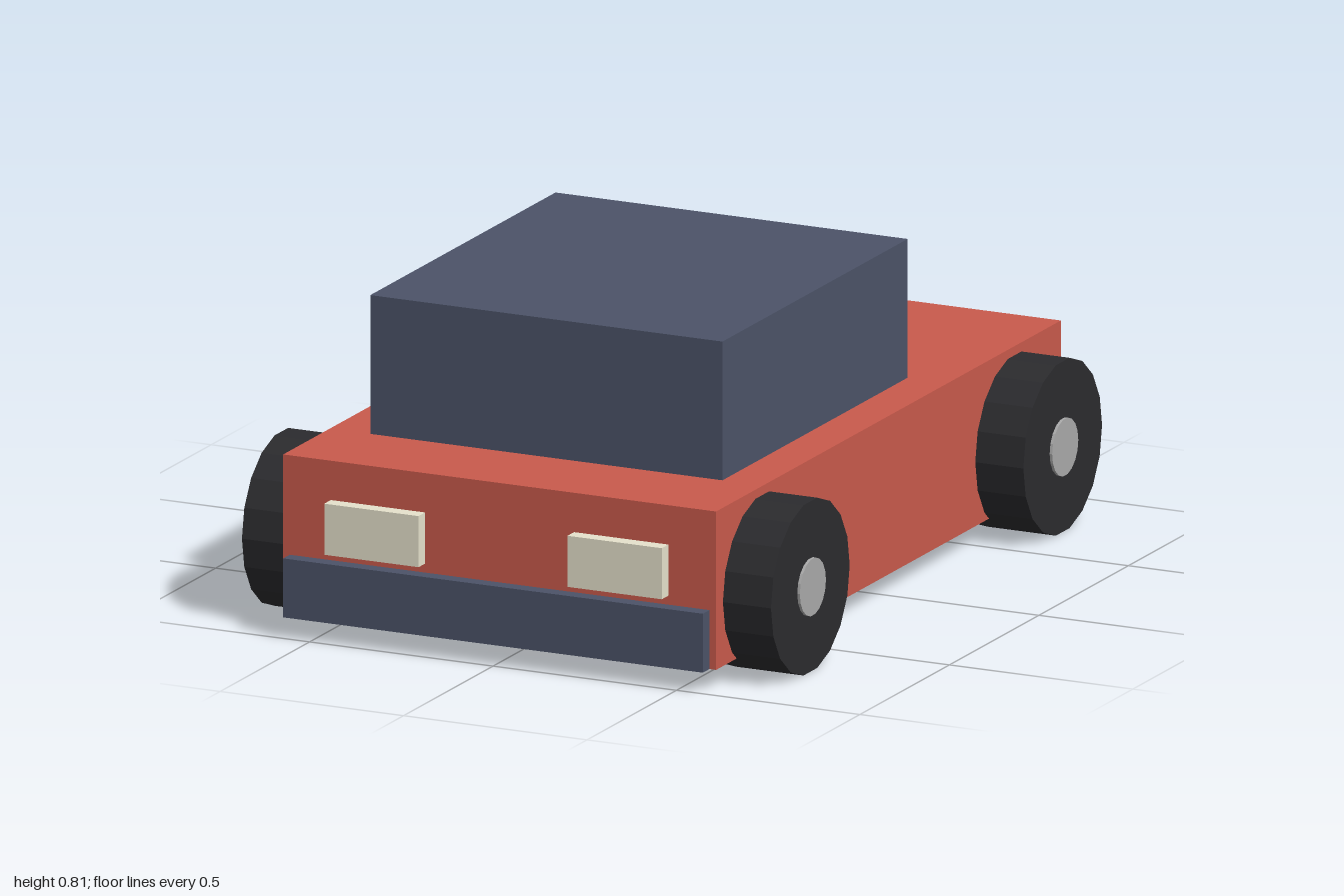
import * as THREE from 'three';

const paint = (color, flatShading = false) => {
  const m = new THREE.MeshStandardMaterial({ color });
  m.flatShading = flatShading;
  return m;
};

export function createModel() {
  const car = new THREE.Group();
  car.name = 'car';

  const red = paint(0xc95a4c);
  const slate = paint(0x4c5368);
  const cream = paint(0xe6e2cc);
  const tailRed = paint(0xc8403f);
  const rubber = paint(0x2b2b2e, true);
  const metal = paint(0xaaaaaa, true);

  // Box given by its extents along each axis
  const box = (name, material, [x0, x1], [y0, y1], [z0, z1]) => {
    const mesh = new THREE.Mesh(new THREE.BoxGeometry(x1 - x0, y1 - y0, z1 - z0), material);
    mesh.position.set((x0 + x1) / 2, (y0 + y1) / 2, (z0 + z1) / 2);
    mesh.name = name;
    car.add(mesh);
  };

  // Body and cabin
  box('body', red, [-0.59, 0.59], [0.057, 0.46], [-0.963, 0.963]);
  box('cabin', slate, [-0.48, 0.48], [0.46, 0.813], [-0.333, 0.702]);

  // Bumpers
  box('frontBumper', slate, [-0.572, 0.572], [0.057, 0.207], [0.963, 1]);
  box('rearBumper', slate, [-0.572, 0.572], [0.067, 0.2], [-1, -0.963]);

  // Lights, mirrored left and right
  for (const [side, s] of [['left', 1], ['right', -1]]) {
    const span = (a, b) => (s > 0 ? [a, b] : [-b, -a]);
    box(side + 'Headlight', cream, span(0.203, 0.46), [0.23, 0.36], [0.963, 1]);
    box(side + 'Taillight', tailRed, span(0.222, 0.515), [0.257, 0.363], [-0.998, -0.963]);
  }

  // Wheels: faceted tyre with a hub standing slightly proud of it
  const tyreGeometry = new THREE.CylinderGeometry(0.22, 0.22, 0.184, 18).rotateZ(Math.PI / 2);
  const hubGeometry = new THREE.CylinderGeometry(0.073, 0.073, 0.198, 18).rotateZ(Math.PI / 2);
  for (const [side, s] of [['Left', 1], ['Right', -1]]) {
    for (const [end, z] of [['front', 0.705], ['rear', -0.705]]) {
      const wheel = new THREE.Group();
      wheel.name = end + side + 'Wheel';
      const tyre = new THREE.Mesh(tyreGeometry, rubber);
      tyre.name = 'tyre';
      const hub = new THREE.Mesh(hubGeometry, metal);
      hub.name = 'hub';
      wheel.add(tyre, hub);
      wheel.position.set(s * 0.629, 0.22, z);
      car.add(wheel);
    }
  }

  return car;
}
